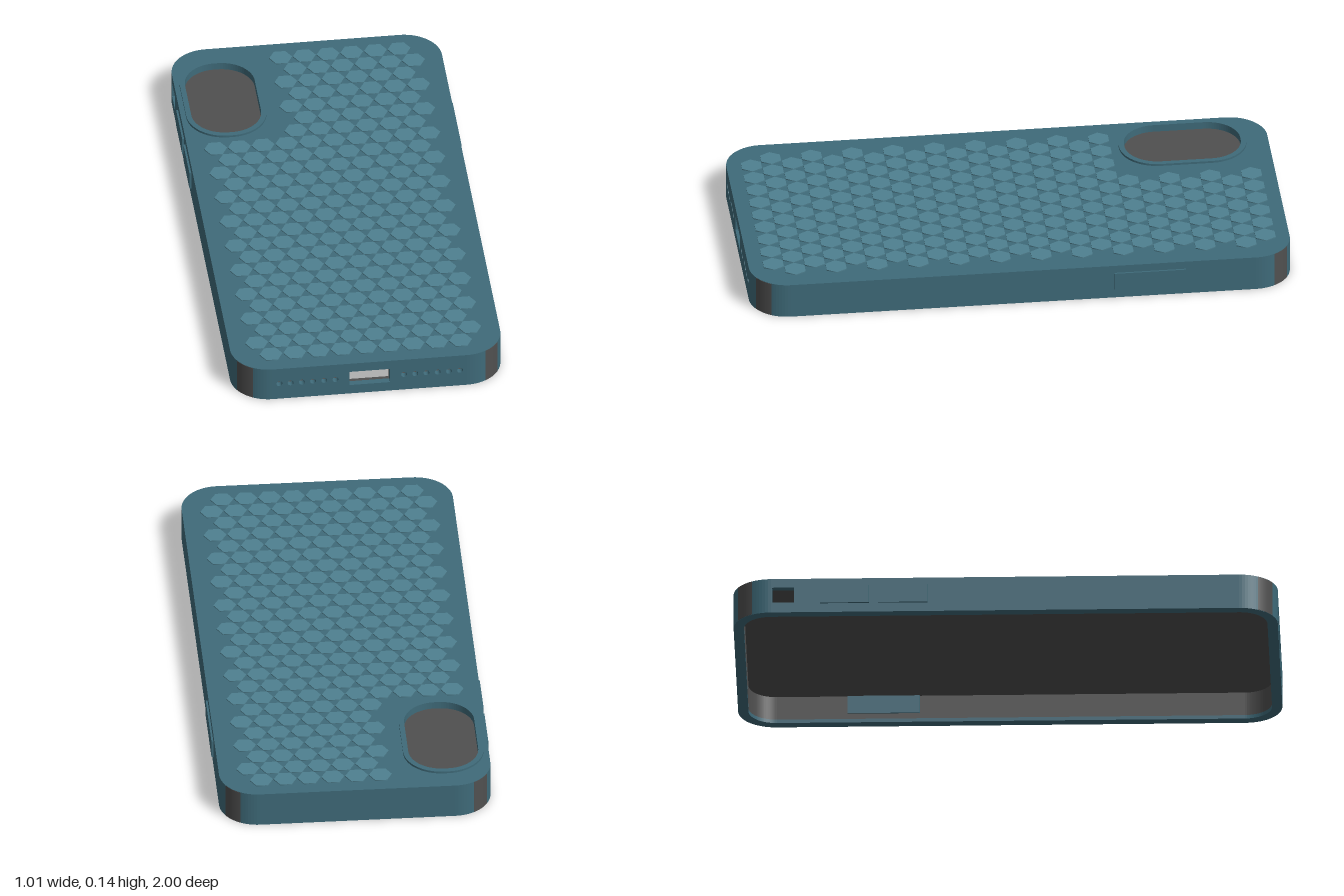
import * as THREE from 'three';

const teal = new THREE.MeshStandardMaterial({ color: 0x3f6b7a });
const tileTeal = new THREE.MeshStandardMaterial({ color: 0x4f8090 });
const grey = new THREE.MeshStandardMaterial({ color: 0x505050 });

const R = 0.14, H = 0.135, WALL = 0.038, SKIN = 0.024, LIP = 0.014, ROOF = 0.115;

// Rounded rectangle centred on (cx, cy) with half sizes hw, hh
function rounded(cx, cy, hw, hh, r, Type = THREE.Shape) {
  const s = new Type(), c = Math.PI / 2;
  s.absarc(cx + hw - r, cy + hh - r, r, 0, c);
  s.absarc(cx - hw + r, cy + hh - r, r, c, 2 * c);
  s.absarc(cx - hw + r, cy - hh + r, r, 2 * c, 3 * c);
  s.absarc(cx + hw - r, cy - hh + r, r, 3 * c, 4 * c);
  s.closePath();
  return s;
}

function rect(x0, x1, y0, y1, Type = THREE.Path) {
  return new Type([[x0, y0], [x1, y0], [x1, y1], [x0, y1]].map(p => new THREE.Vector2(...p)));
}

function circle(x, y, r) {
  return new THREE.Path().absarc(x, y, r, 0, Math.PI * 2);
}

// Slice of a ring between two radii and two angles
function sector(r0, r1, a0, a1) {
  const s = new THREE.Shape();
  s.absarc(0, 0, r1, a0, a1, false);
  s.absarc(0, 0, r0, a1, a0, true);
  s.closePath();
  return s;
}

function extrude(shape, depth) {
  return new THREE.ExtrudeGeometry(shape, { depth, bevelEnabled: false, curveSegments: 10 });
}

// Extrudes a plan shape (shape y = -z) upward from y0 to y1
function slab(shape, y0, y1) {
  return extrude(shape, y1 - y0).rotateX(-Math.PI / 2).translate(0, y0, 0);
}

export function createModel() {
  const model = new THREE.Group();
  const add = (geometry, material, name, parent = model) => {
    const mesh = new THREE.Mesh(geometry, material);
    mesh.name = name;
    parent.add(mesh);
    return mesh;
  };

  // Back panel with camera opening, and its inner lining
  const opening = () => rounded(-0.333, 0.683, 0.129, 0.215, 0.122, THREE.Path);
  const panel = rounded(0, 0, 0.5, 1, R);
  panel.holes.push(opening());
  add(slab(panel, ROOF, H), teal, 'backPanel');
  const lining = rounded(0, 0, 0.5 - WALL, 1 - WALL, R - WALL);
  lining.holes.push(opening());
  add(slab(lining, ROOF - 0.01, ROOF), grey, 'backLining');

  // Raised camera frame
  const frame = rounded(-0.333, 0.683, 0.148, 0.235, 0.14);
  frame.holes.push(opening());
  add(slab(frame, H - 0.005, 0.143), teal, 'cameraFrame');

  // Rim around the open underside
  const rim = rounded(0, 0, 0.5, 1, R);
  rim.holes.push(rounded(0, 0, 0.5 - WALL, 1 - WALL, R - WALL, THREE.Path));
  add(slab(rim, 0, LIP), teal, 'rim');

  // Cut-outs: charging port and speaker holes in front, switch and buttons at the sides
  const frontHoles = [rect(-0.075, 0.075, 0.038, 0.098)];
  for (const side of [-1, 1])
    for (let i = 0; i < 6; i++) frontHoles.push(circle(side * (0.127 + i * 0.0415), 0.068, 0.011));
  const buttons = [
    { side: -1, z0: -0.68, z1: -0.5 },
    { side: -1, z0: -0.465, z1: -0.285 },
    { side: 1, z0: -0.6, z1: -0.335 },
  ];
  const buttonHoles = side => buttons.filter(b => b.side === side)
    .map(b => side < 0 ? rect(b.z0, b.z1, 0.035, 0.105) : rect(-b.z1, -b.z0, 0.035, 0.105));

  // Straight walls, each an outer skin and an inner lining
  const walls = [
    { name: 'frontWall', turn: 0, half: 0.36, reach: 1, holes: frontHoles },
    { name: 'rearWall', turn: Math.PI, half: 0.36, reach: 1, holes: [] },
    { name: 'leftWall', turn: Math.PI / 2, half: 0.86, reach: 0.5, holes: buttonHoles(1) },
    { name: 'rightWall', turn: -Math.PI / 2, half: 0.86, reach: 0.5,
      holes: [rect(-0.855, -0.775, 0.04, 0.1), ...buttonHoles(-1)] },
  ];
  const layers = [[0, SKIN, teal, 'Skin'], [SKIN, WALL, grey, 'Lining']];
  for (const w of walls) {
    const group = new THREE.Group();
    group.name = w.name;
    group.rotation.y = w.turn;
    for (const [d0, d1, material, suffix] of layers) {
      const shape = rect(-w.half, w.half, LIP, ROOF, THREE.Shape);
      shape.holes.push(...w.holes);
      add(extrude(shape, d1 - d0).translate(0, 0, w.reach - d1), material, w.name + suffix, group);
    }
    model.add(group);
  }

  // Rounded corners with a grey strip down the middle of each
  [[1, 1], [-1, 1], [-1, -1], [1, -1]].forEach(([sx, sy], i) => {
    const corner = new THREE.Group();
    corner.name = 'corner';
    corner.position.set(sx * 0.36, 0, -sy * 0.86);
    corner.rotation.y = i * Math.PI / 2;
    for (const [d0, d1, material, suffix] of layers)
      add(slab(sector(R - d1, R - d0, 0, Math.PI / 2), LIP, ROOF), material, 'corner' + suffix, corner);
    add(slab(sector(R - 0.002, R + 0.001, Math.PI / 6, Math.PI / 3), 0.001, H - 0.001), grey, 'cornerStrip', corner);
    model.add(corner);
  });

  // Side buttons running through the walls
  for (const b of buttons) {
    const button = add(new THREE.BoxGeometry(0.05, 0.07, b.z1 - b.z0), teal, 'sideButton');
    button.position.set(b.side * 0.482, 0.07, (b.z0 + b.z1) / 2);
  }

  // Hexagonal grip tiles in staggered rows, leaving room for the camera
  const tiles = new THREE.Group();
  tiles.name = 'gripTiles';
  const tile = new THREE.CylinderGeometry(0.0425, 0.0425, 0.008, 6).rotateY(Math.PI / 6);
  for (let row = 0; row < 25; row++) {
    const odd = row % 2;
    const first = row < 7 ? 3 + odd : 0;
    for (let k = first; k < 9 + odd; k++)
      add(tile, tileTeal, 'gripTile', tiles)
        .position.set(-0.354 - odd * 0.0438 + k * 0.0877, H, -0.911 + row * 0.0758);
  }
  model.add(tiles);
  return model;
}
